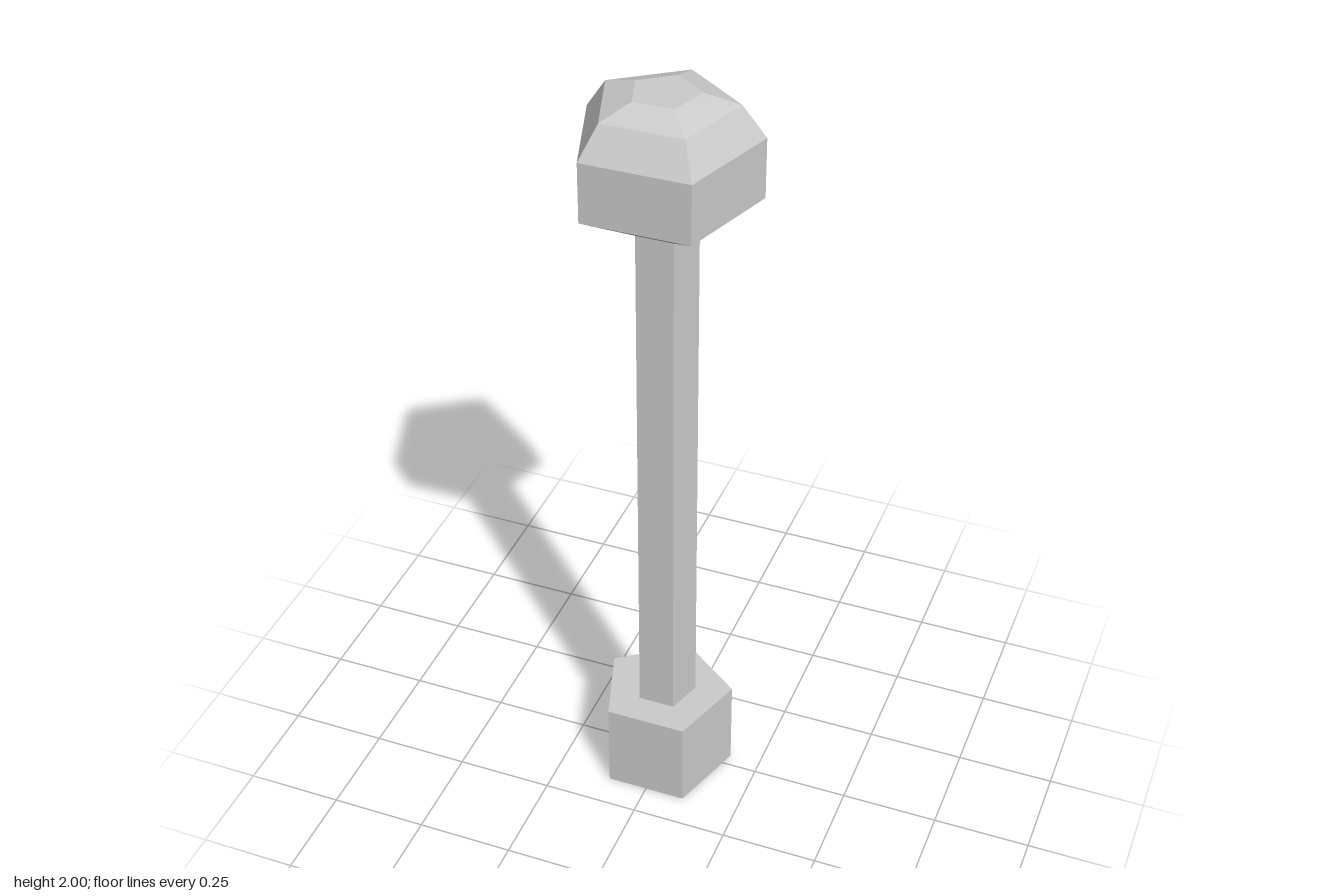
import * as THREE from 'three';

const SIDES = 5;
const AXIS_Z = 0.0215; // pentagon axis, so that the bounds are centred on z = 0

export function createModel() {
  const group = new THREE.Group();
  group.name = 'knobbedRod';
  const material = new THREE.MeshStandardMaterial({ color: 0xcccccc, flatShading: true });

  const add = (name, geometry, y = 0) => {
    const mesh = new THREE.Mesh(geometry, material);
    mesh.name = name;
    mesh.position.set(0, y, AXIS_Z);
    group.add(mesh);
  };

  // Upright pentagonal prism with one corner pointing back
  const prism = (radius, height, open) =>
    new THREE.CylinderGeometry(radius, radius, height, SIDES, 1, open, Math.PI);

  // Foot block
  add('base', prism(0.177, 0.244, false), 0.122);

  // Shaft, its ends hidden by base and head
  add('shaft', prism(0.08, 1.416, true), 0.952);

  // Faceted head: flared underside, straight band, two sloping tiers, flat top
  const profile = [
    [0, 1.66], [0.08, 1.66], [0.227, 1.74], [0.227, 1.892],
    [0.171, 1.972], [0.0845, 2], [0, 2],
  ].map(([r, y]) => new THREE.Vector2(r, y));
  add('head', new THREE.LatheGeometry(profile, SIDES, Math.PI));

  return group;
}
